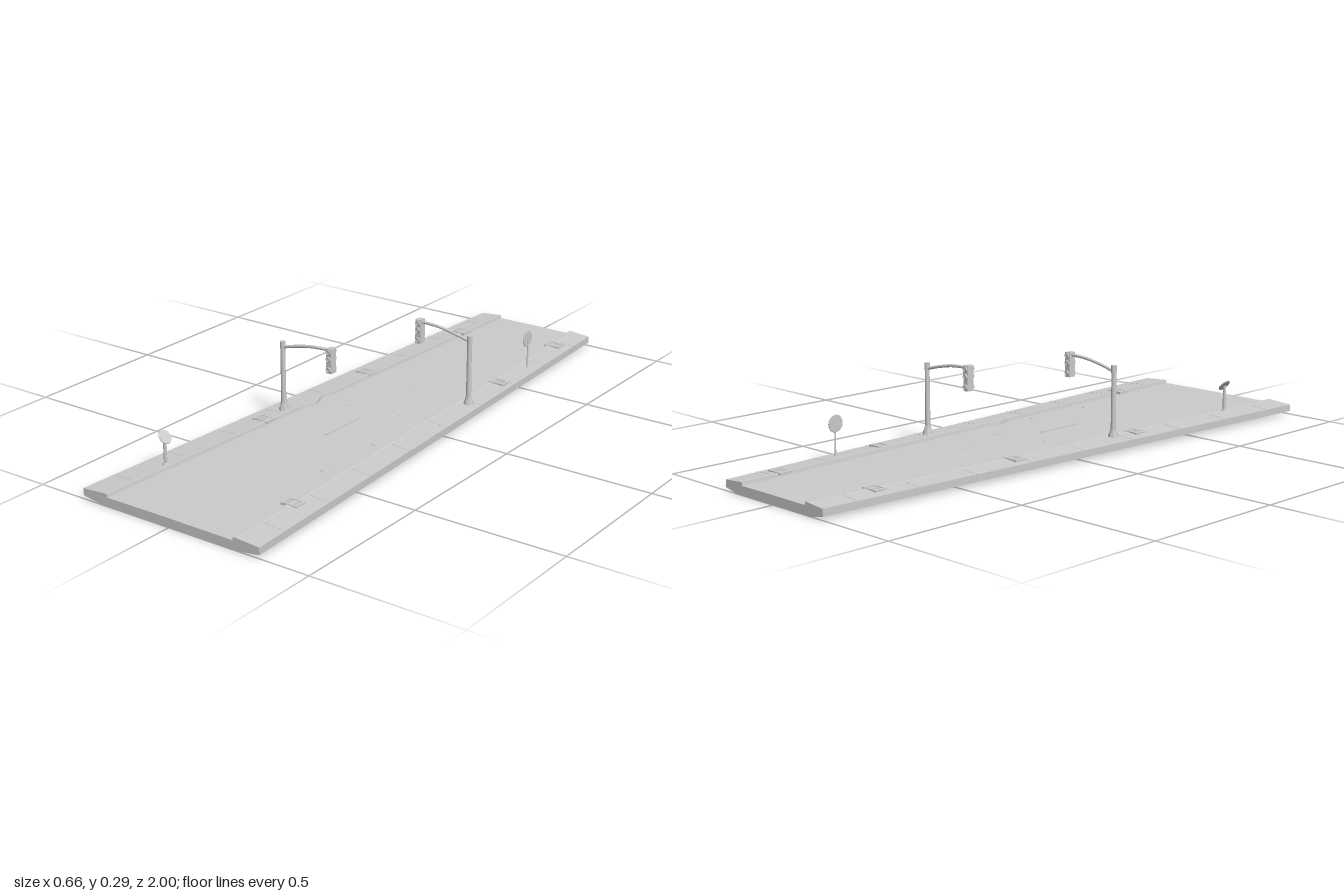
import * as THREE from 'three';

const flat = new THREE.MeshStandardMaterial({ color: 0xcccccc, flatShading: true });
const smooth = new THREE.MeshStandardMaterial({ color: 0xcccccc });

function add(parent, name, geometry, x, y, z, material = smooth) {
  const mesh = new THREE.Mesh(geometry, material);
  mesh.name = name;
  mesh.position.set(x, y, z);
  parent.add(mesh);
  return mesh;
}
const box = (w, h, d) => new THREE.BoxGeometry(w, h, d);
const cyl = (rt, rb, h, n = 20) => new THREE.CylinderGeometry(rt, rb, h, n);

// The street narrows towards the back
const halfWidth = z => 0.2775 + 0.0525 * z;
const bump = (z, c, r) => Math.exp(-(((z - c) / r) ** 2));
const kerbX = (z, side) => 0.19 + 0.045 * z
  - (side < 0 ? 0.014 * bump(z, 0.08, 0.03) - 0.008 * bump(z, 0.02, 0.03) : 0.014 * bump(z, 0.08, 0.03));

// Outline of the slab at one z, counter-clockwise from the front
function section(z) {
  const w = halfWidth(z), b = w * 0.77;
  const half = side => {
    const k = kerbX(z, side);
    return [[b, 0], [w, 0.011], [w, 0.034], [k + 0.018, 0.039], [k + 0.015, 0.04], [k + 0.002, 0.04], [k, 0.029]]
      .map(([x, y]) => new THREE.Vector2(side * x, y));
  };
  return [...half(1), new THREE.Vector2(0, 0.03), ...half(-1).reverse()];
}

function slabGeometry() {
  const steps = 100, pos = [], index = [];
  const n = section(0).length;
  for (let i = 0; i <= steps; i++) {
    const z = -1 + (2 * i) / steps;
    for (const p of section(z)) pos.push(p.x, p.y, z);
  }
  for (let i = 0; i < steps; i++) {
    for (let j = 0; j < n; j++) {
      const a = i * n + j, b = i * n + ((j + 1) % n);
      index.push(a, b, b + n, a, b + n, a + n);
    }
  }
  // End caps
  const last = steps * n;
  for (const [a, b, c] of THREE.ShapeUtils.triangulateShape(section(1), [])) index.push(last + a, last + b, last + c);
  for (const [a, b, c] of THREE.ShapeUtils.triangulateShape(section(-1), [])) index.push(c, b, a);
  const g = new THREE.BufferGeometry();
  g.setAttribute('position', new THREE.Float32BufferAttribute(pos, 3));
  g.setIndex(index);
  const out = g.toNonIndexed();
  out.computeVertexNormals();
  return out;
}

// Post with a curved arm reaching over the road; side is the sign of x
function trafficLight(side, z) {
  const g = new THREE.Group();
  g.name = side > 0 ? 'leftTrafficLight' : 'rightTrafficLight';
  const px = side * 0.228;
  add(g, 'postBase', cyl(0.014, 0.017, 0.014, 8), px, 0.044, z, flat);
  add(g, 'postCollar', cyl(0.01, 0.012, 0.012), px, 0.056, z);
  add(g, 'post', cyl(0.0078, 0.0085, 0.215), px, 0.1625, z);
  add(g, 'postCap', cyl(0.009, 0.009, 0.024), px, 0.26, z);
  const path = new THREE.CatmullRomCurve3(
    [[0.226, 0.253], [0.17, 0.267], [0.11, 0.278], [0.04, 0.282]].map(([x, y]) => new THREE.Vector3(side * x, y, z)));
  add(g, 'arm', new THREE.TubeGeometry(path, 24, 0.005, 10), 0, 0, 0);
  const hx = side * 0.035;
  add(g, 'signalHousing', box(0.02, 0.082, 0.026), hx, 0.249, z, flat);
  for (const y of [0.279, 0.255, 0.221]) {
    for (const face of [1, -1]) {
      const lens = add(g, 'lens', cyl(0.006, 0.006, 0.004, 16), hx, y, z + face * 0.0135);
      lens.rotation.x = Math.PI / 2;
      const rim = add(g, 'lensHood', new THREE.TorusGeometry(0.0075, 0.0018, 6, 20), hx, y, z + face * 0.0145);
      rim.scale.z = 2;
    }
  }
  return g;
}

// Round sign: thin disc turned about z by tilt
function roundSign(name, x, z, postX, postR, postTop, discY, discR, tilt) {
  const g = new THREE.Group();
  g.name = name;
  add(g, 'signPost', cyl(postR, postR, postTop - 0.035, 12), postX, (postTop + 0.035) / 2, z);
  add(g, 'signFoot', cyl(postR * 1.6, postR * 2, 0.006, 12), postX, 0.041, z);
  const plate = add(g, 'signDisc', cyl(discR, discR, 0.004, 32), x, discY, z);
  plate.rotation.z = tilt;
  const rim = add(g, 'signRim', new THREE.TorusGeometry(discR, 0.002, 6, 32), x, discY, z);
  rim.rotation.set(Math.PI / 2, 0, 0);
  rim.rotation.order = 'ZYX';
  rim.rotation.z = tilt;
  return g;
}

// Slotted drain set across the kerb
function drain(x, z) {
  const g = new THREE.Group();
  g.name = 'drain';
  g.position.set(x, 0.0375, z);
  for (const s of [-1, 1]) {
    add(g, 'drainRail', box(0.054, 0.008, 0.006), 0, 0, s * 0.018, flat);
    add(g, 'drainEnd', box(0.008, 0.008, 0.044), s * 0.025, 0, 0, flat);
  }
  for (let i = -2; i <= 2; i++) add(g, 'drainBar', box(0.004, 0.006, 0.034), i * 0.008, 0, 0, flat);
  return g;
}

export function createModel() {
  const model = new THREE.Group();
  model.name = 'street';
  add(model, 'roadSlab', slabGeometry(), 0, 0, 0, flat);

  model.add(trafficLight(-1, 0.19), trafficLight(1, -0.2));
  model.add(roundSign('tiltedSign', -0.241, 0.74, -0.243, 0.0055, 0.126, 0.128, 0.021, -0.9));
  model.add(roundSign('uprightSign', 0.206, -0.6, 0.209, 0.0025, 0.14, 0.14, 0.026, Math.PI / 2));

  for (const [x, z] of [[-0.175, -0.77], [0.175, -0.84], [-0.21, -0.24], [-0.23, 0.29], [0.235, 0.73], [0.207, -0.42]]) {
    model.add(drain(x, z));
  }

  // Manhole covers
  for (const [x, z] of [[0.16, 0.48], [0.168, 0.23]]) {
    add(model, 'manholeCover', cyl(0.014, 0.015, 0.003, 24), x, 0.03, z);
  }

  // Raised seam in the middle of the road and small road patches
  add(model, 'centreSeam', box(0.008, 0.005, 0.17), 0, 0.0305, 0.18, flat);
  for (const [x, z, l] of [[0.09, -0.02, 0.04], [0.01, -0.22, 0.04], [-0.09, 0.02, 0.02]]) {
    add(model, 'roadPatch', box(0.004, 0.002, l), x, 0.0295, z, flat);
  }

  // Pavement joints
  for (const side of [-1, 1]) {
    for (let i = 0; i < 9; i++) {
      const z = -0.88 + i * 0.22;
      const inner = kerbX(z, side) + 0.02, outer = halfWidth(z);
      const joint = add(model, 'pavementJoint', box(outer - inner, 0.001, 0.003), side * (inner + outer) / 2, 0.0366, z, flat);
      joint.rotation.z = -side * Math.atan2(0.005, outer - inner);
    }
  }
  return model;
}
